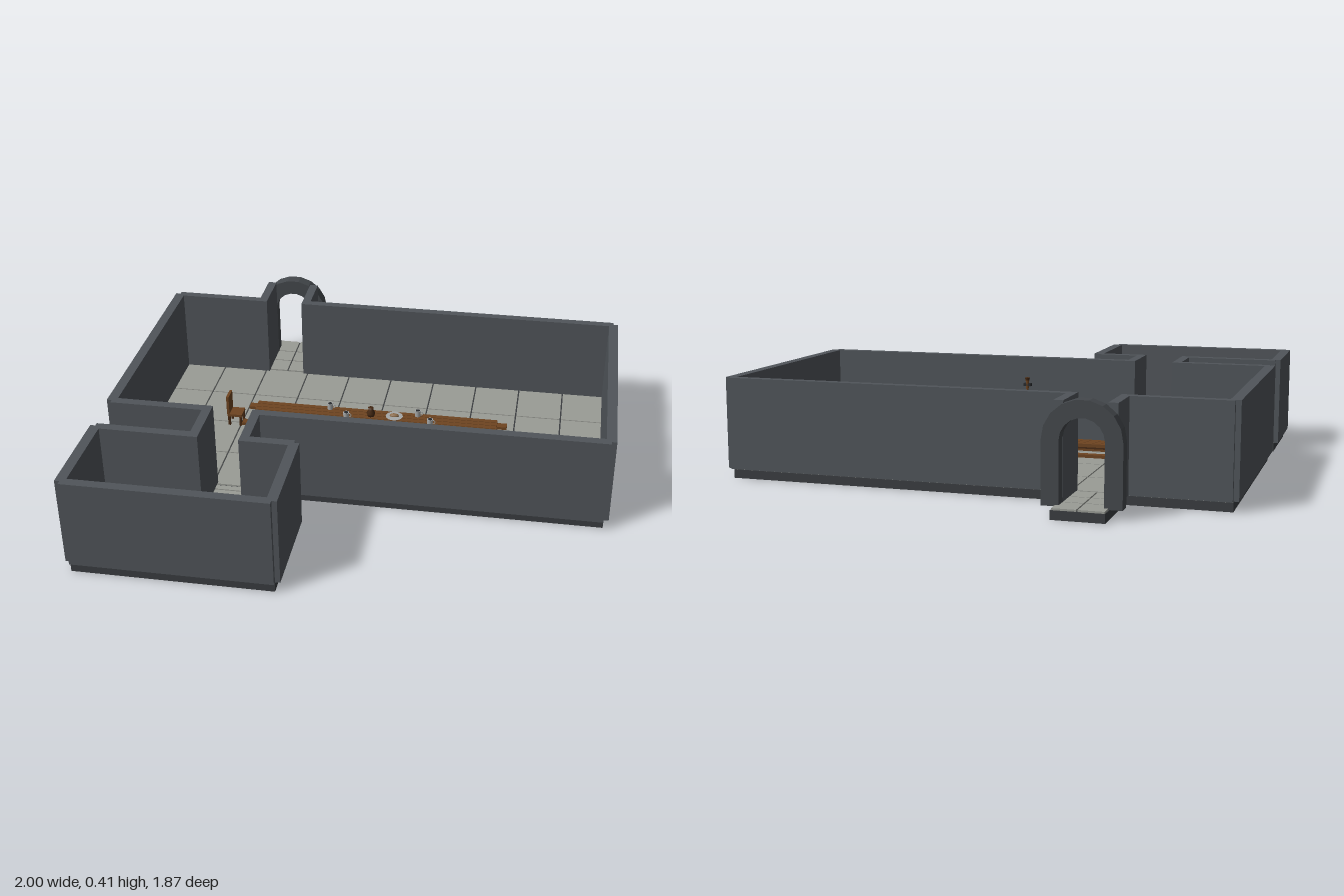
import * as THREE from 'three';

const mat = (name, color) => {
  const m = new THREE.MeshStandardMaterial({ color });
  m.name = name;
  return m;
};

export function createModel() {
  const root = new THREE.Group();
  root.name = 'diningHall';
  const wallMat = mat('wallStone', 0x50555a);
  const trimMat = mat('darkStone', 0x44484c);
  const tileMat = mat('floorStone', 0x9a9c96);
  const groutMat = mat('grout', 0x3a3d40);
  const wood = mat('wood', 0x6e4420);
  const darkWood = mat('darkWood', 0x472a13);
  const metal = mat('pewter', 0xa6a8a8);
  const iron = mat('iron', 0x26282b);
  const clay = mat('bread', 0x8a6a48);

  const group = (name, parent = root) => {
    const g = new THREE.Group();
    g.name = name;
    parent.add(g);
    return g;
  };
  const add = (parent, name, geo, m, x = 0, y = 0, z = 0) => {
    const mesh = new THREE.Mesh(geo, m);
    mesh.name = name;
    mesh.position.set(x, y, z);
    parent.add(mesh);
    return mesh;
  };
  // Box given by its minimum and maximum on each axis
  const box = (parent, name, m, x0, x1, y0, y1, z0, z1) =>
    add(parent, name, new THREE.BoxGeometry(x1 - x0, y1 - y0, z1 - z0), m,
      (x0 + x1) / 2, (y0 + y1) / 2, (z0 + z1) / 2);

  // Dark slab carrying a grid of tiles with open joints
  const floor = (name, slab, xs, zs) => {
    const g = group(name);
    box(g, 'slab', groutMat, slab[0], slab[1], 0, 0.034, slab[2], slab[3]);
    const j = 0.003;
    for (let i = 0; i < xs.length - 1; i++)
      for (let k = 0; k < zs.length - 1; k++)
        box(g, 'tile', tileMat, xs[i] + j, xs[i + 1] - j, 0.03, 0.041, zs[k] + j, zs[k + 1] - j);
  };
  const steps = (a, b, n) => Array.from({ length: n + 1 }, (_, i) => a + (b - a) * i / n);
  floor('hallFloor', [-0.98, 0.98, -0.645, 0.325], steps(-0.98, 0.98, 10), [-0.645, -0.405, -0.16, 0.085, 0.325]);
  floor('sideRoomFloor', [-0.98, -0.2, 0.535, 0.92], steps(-0.98, -0.2, 4), [0.535, 0.62, 0.82, 0.92]);
  floor('frontPassageFloor', [-0.59, -0.395, 0.33, 0.53], [-0.59, -0.395], [0.33, 0.362, 0.405, 0.492, 0.53]);
  floor('backPassageFloor', [-0.59, -0.395, -0.94, -0.65], [-0.59, -0.49, -0.395], [-0.94, -0.835, -0.745, -0.65]);

  // Walls
  const walls = group('walls');
  const wall = (name, x0, x1, z0, z1) => box(walls, name, wallMat, x0, x1, 0.04, 0.4, z0, z1);
  wall('hallRightWall', -1, -0.96, -0.65, 0.33);
  wall('hallLeftWall', 0.96, 1, -0.65, 0.33);
  for (const [z0, z1] of [[-0.667, -0.632], [0.31, 0.347]]) {
    wall('hallWallShort', -0.98, -0.572, z0, z1);
    wall('hallWallLong', -0.412, 0.98, z0, z1);
  }
  wall('sideRoomRightWall', -1, -0.96, 0.525, 0.915);
  wall('sideRoomLeftWall', -0.22, -0.18, 0.525, 0.915);
  wall('sideRoomFrontWall', -0.98, -0.2, 0.895, 0.933);
  wall('sideRoomBackWall', -0.98, -0.572, 0.508, 0.545);
  wall('sideRoomBackWall', -0.412, -0.2, 0.508, 0.545);
  for (const [x0, x1] of [[-0.608, -0.572], [-0.412, -0.376]]) {
    wall('frontPassageWall', x0, x1, 0.347, 0.508);
    wall('backPassageWall', x0, x1, -0.835, -0.667);
  }

  // Faceted entrance arch
  const spring = 0.268, n = 9;
  const arc = (r, i) => [Math.cos(Math.PI * i / n) * r, spring + Math.sin(Math.PI * i / n) * r];
  const s = new THREE.Shape();
  s.moveTo(0.146, 0.036);
  for (let i = 0; i <= n; i++) s.lineTo(...arc(0.146, i));
  s.lineTo(-0.146, 0.036);
  s.lineTo(-0.08, 0.036);
  for (let i = n; i >= 0; i--) s.lineTo(...arc(0.082, i));
  s.lineTo(0.08, 0.036);
  s.closePath();
  add(root, 'entranceArch', new THREE.ExtrudeGeometry(s, { depth: 0.055, bevelEnabled: false }), trimMat, -0.492, 0, -0.887);

  // Small round items
  const cyl = (parent, name, m, r0, r1, h, x, y, z) =>
    add(parent, name, new THREE.CylinderGeometry(r1, r0, h, 12), m, x, y + h / 2, z);
  const mug = (parent, x, y, z, m = metal) => {
    const g = group('mug', parent);
    g.position.set(x, y, z);
    cyl(g, 'mugBody', m, 0.012, 0.013, 0.026, 0, 0, 0);
    cyl(g, 'drink', iron, 0.009, 0.009, 0.002, 0, 0.025, 0);
    add(g, 'mugHandle', new THREE.TorusGeometry(0.008, 0.002, 6, 10), m, 0.014, 0.013, 0);
  };
  const jug = (parent, x, y, z, m) => {
    const pts = [[0, 0], [0.014, 0], [0.019, 0.015], [0.01, 0.03], [0.012, 0.04], [0, 0.038]];
    add(parent, 'jug', new THREE.LatheGeometry(pts.map(p => new THREE.Vector2(...p)), 12), m, x, y, z);
  };

  // Long table with planked top and trestle legs
  const table = group('longTable');
  for (let i = 0; i < 4; i++) {
    const z = -0.208 + i * 0.0245;
    box(table, 'tablePlank', wood, -0.52, 0.52, 0.117, 0.13, z, z + 0.0215);
  }
  box(table, 'tableUnderside', darkWood, -0.515, 0.515, 0.11, 0.12, -0.205, -0.115);
  for (const x of [-0.44, 0, 0.44]) {
    box(table, 'trestleLeg', wood, x - 0.012, x + 0.012, 0.04, 0.112, -0.185, -0.135);
    box(table, 'trestleFoot', darkWood, x - 0.015, x + 0.015, 0.04, 0.05, -0.2, -0.12);
  }
  for (const [x, z] of [[-0.2, -0.19], [-0.12, -0.128], [0.18, -0.19], [0.24, -0.128]]) mug(table, x, 0.13, z);
  jug(table, -0.018, 0.13, -0.16, darkWood);
  cyl(table, 'platter', metal, 0.025, 0.037, 0.008, 0.083, 0.13, -0.16);
  add(table, 'bread', new THREE.SphereGeometry(0.016, 12, 6), clay, 0.083, 0.14, -0.16).scale.set(1.3, 0.6, 0.7);

  // Benches on both sides
  for (const z of [-0.229, -0.091]) {
    const bench = group('bench');
    box(bench, 'benchSeat', wood, -0.565, 0.56, 0.082, 0.094, z - 0.0165, z + 0.0165);
    for (const x of [-0.5, 0, 0.5]) box(bench, 'benchLeg', darkWood, x - 0.008, x + 0.008, 0.04, 0.083, z - 0.012, z + 0.012);
  }

  // Chair at the head of the table
  const chair = group('chair');
  box(chair, 'chairSeat', wood, -0.643, -0.58, 0.085, 0.096, -0.194, -0.13);
  box(chair, 'chairBack', wood, -0.645, -0.634, 0.096, 0.18, -0.194, -0.13);
  for (const x of [-0.637, -0.587])
    for (const z of [-0.188, -0.137]) box(chair, 'chairLeg', darkWood, x - 0.005, x + 0.005, 0.04, 0.086, z - 0.005, z + 0.005);

  // Wall torches: bracket, shaft and dark head
  const torch = (x, y, z, turn) => {
    const g = group('wallTorch');
    g.position.set(x, y, z);
    g.rotation.y = turn;
    box(g, 'torchBracket', iron, -0.016, 0.016, -0.01, 0.002, -0.014, 0.006);
    cyl(g, 'torchShaft', wood, 0.005, 0.008, 0.045, 0, -0.03, -0.008);
    cyl(g, 'torchHead', darkWood, 0.009, 0.011, 0.012, 0, 0.015, -0.008);
  };
  torch(0.062, 0.285, 0.304, 0);
  torch(-0.226, 0.27, 0.832, Math.PI / 2);

  // Wall shelf in the side room
  const shelf = group('wallShelf');
  box(shelf, 'shelfBoard', wood, -0.26, -0.22, 0.148, 0.158, 0.625, 0.795);
  for (const z of [0.65, 0.77]) box(shelf, 'shelfBracket', darkWood, -0.245, -0.22, 0.125, 0.148, z - 0.005, z + 0.005);
  jug(shelf, -0.238, 0.158, 0.665, iron);
  mug(shelf, -0.238, 0.158, 0.755);

  // Work table in the side room
  const desk = group('workTable');
  box(desk, 'deskTop', wood, -0.8, -0.645, 0.117, 0.13, 0.8, 0.88);
  for (const x of [-0.79, -0.655])
    for (const z of [0.81, 0.87]) box(desk, 'deskLeg', darkWood, x - 0.007, x + 0.007, 0.04, 0.118, z - 0.007, z + 0.007);
  box(desk, 'cuttingBoard', darkWood, -0.78, -0.72, 0.13, 0.136, 0.82, 0.855);
  box(desk, 'breadLoaf', wood, -0.77, -0.73, 0.136, 0.146, 0.828, 0.847);
  jug(desk, -0.685, 0.13, 0.82, iron);
  mug(desk, -0.68, 0.13, 0.858);

  // Stone hearth with cauldron
  const hearth = group('hearth');
  box(hearth, 'hearthBase', trimMat, -0.96, -0.83, 0.04, 0.075, 0.785, 0.89);
  box(hearth, 'hearthBack', trimMat, -0.96, -0.83, 0.075, 0.13, 0.875, 0.893);
  for (const x of [-0.96, -0.85]) box(hearth, 'hearthSide', trimMat, x, x + 0.02, 0.075, 0.115, 0.785, 0.875);
  const pot = [[0, 0], [0.022, 0.003], [0.036, 0.022], [0.03, 0.042], [0.034, 0.048], [0.027, 0.048], [0.025, 0.036], [0, 0.036]];
  add(hearth, 'cauldron', new THREE.LatheGeometry(pot.map(p => new THREE.Vector2(...p)), 16), iron, -0.895, 0.075, 0.832);
  cyl(hearth, 'stew', trimMat, 0.024, 0.024, 0.003, -0.895, 0.112, 0.832);

  return root;
}
